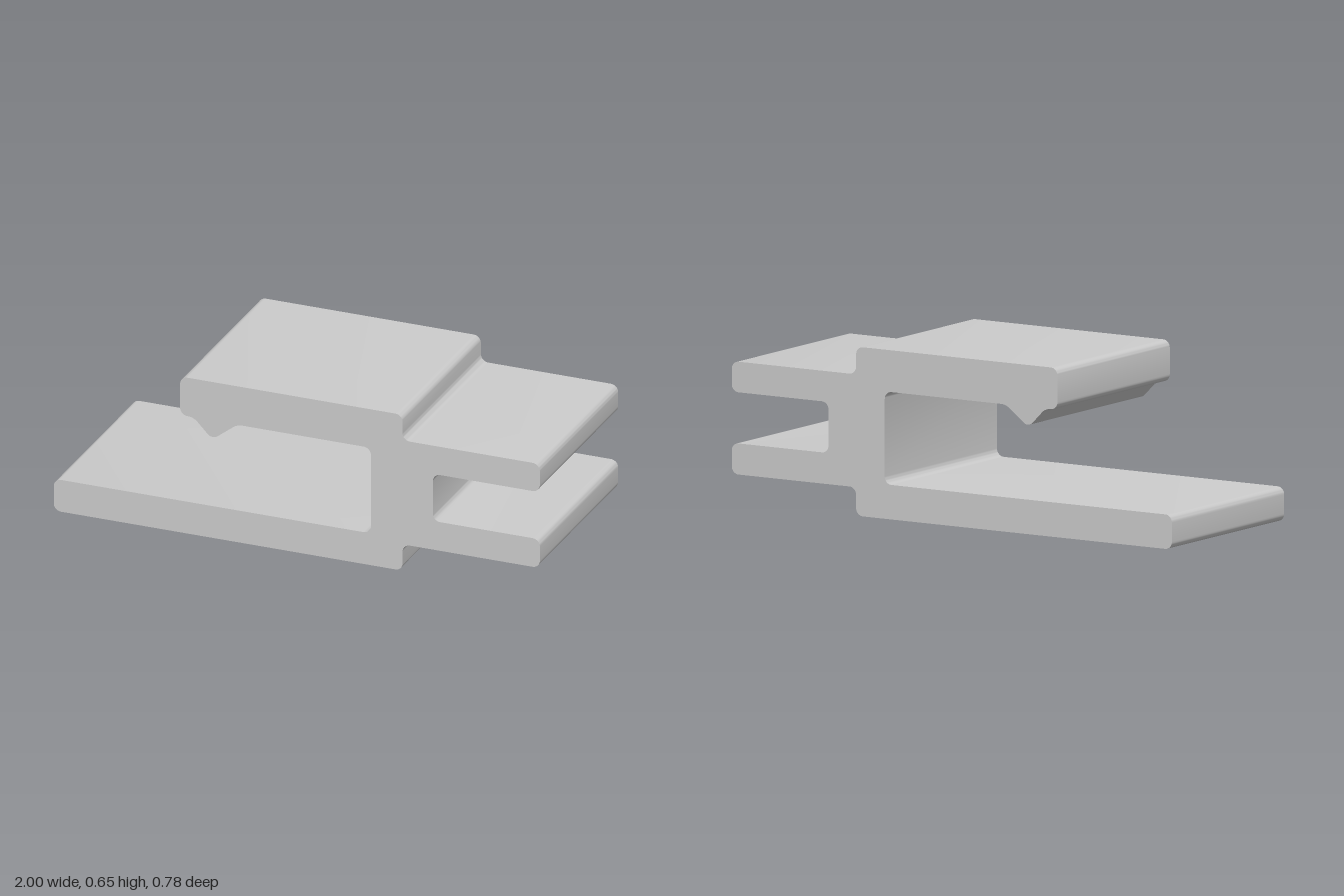
import * as THREE from 'three';
import { toCreasedNormals } from 'three/addons/utils/BufferGeometryUtils.js';

const DEPTH = 0.78;
const R = 0.03;

// Closed outline from corners [x, y, radius], each corner rounded
function roundedShape(corners) {
  const shape = new THREE.Shape();
  const n = corners.length;
  const k = 0.448; // handle position that makes a right-angle corner circular
  corners.forEach(([x, y, r = R], i) => {
    const p = new THREE.Vector2(x, y);
    const towards = (c, d) => new THREE.Vector2(c[0], c[1]).sub(p).setLength(d).add(p);
    const prev = corners[(i + n - 1) % n], next = corners[(i + 1) % n];
    const a = towards(prev, r), b = towards(next, r);
    const ha = towards(prev, r * k), hb = towards(next, r * k);
    if (i === 0) shape.moveTo(a.x, a.y);
    else shape.lineTo(a.x, a.y);
    shape.bezierCurveTo(ha.x, ha.y, hb.x, hb.y, b.x, b.y);
  });
  shape.closePath();
  return shape;
}

export function createModel() {
  const group = new THREE.Group();
  group.name = 'clipProfile';

  const outline = roundedShape([
    // base plate and lower step
    [-1, 0], [0.435, 0], [0.435, 0.11],
    // lower prong, slot, upper prong
    [1, 0.11], [1, 0.23], [0.56, 0.23], [0.56, 0.427], [1, 0.427], [1, 0.545],
    // upper step and top arm
    [0.435, 0.545], [0.435, 0.652], [-0.48, 0.652], [-0.48, 0.491],
    // barb under the arm tip
    [-0.425, 0.491, 0.02], [-0.348, 0.412, 0.026], [-0.245, 0.491, 0.02],
    // inside of the channel and top of the base plate
    [0.305, 0.491], [0.305, 0.133], [-1, 0.133],
  ]);

  const geometry = new THREE.ExtrudeGeometry(outline, {
    depth: DEPTH, bevelEnabled: false, curveSegments: 8,
  });
  geometry.translate(0, 0, -DEPTH / 2);

  const rail = new THREE.Mesh(
    toCreasedNormals(geometry, 0.6),
    new THREE.MeshStandardMaterial({ color: 0xcccccc }),
  );
  rail.name = 'extrudedRail';
  group.add(rail);
  return group;
}
